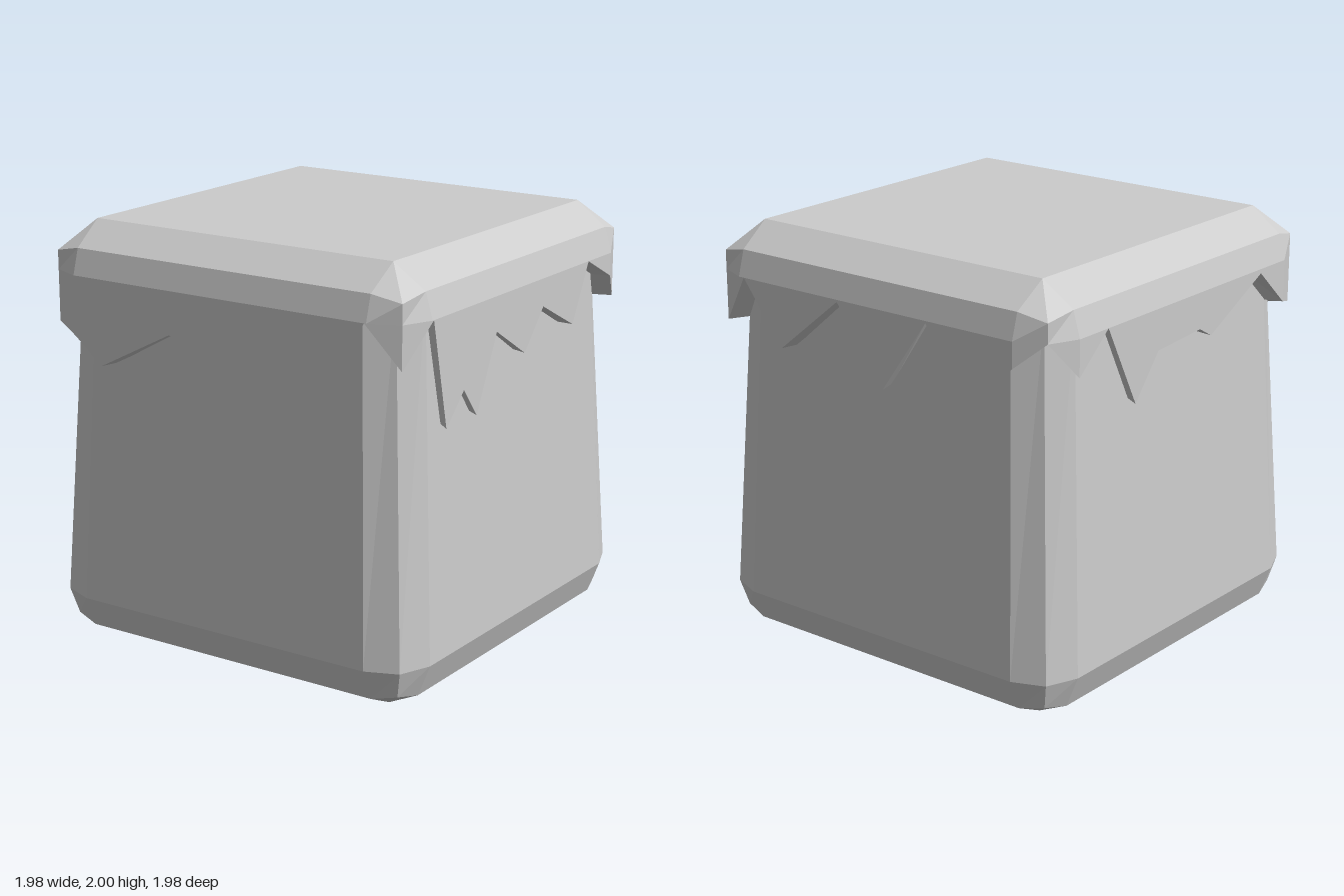
import * as THREE from 'three';

const material = new THREE.MeshStandardMaterial({ color: 0xcccccc, flatShading: true });

// Turn a front-side point (t across, w outward) to side k: front, +x, back, -x
function onSide(k, t, y, w) {
  const c = [1, 0, -1, 0][k], s = [0, 1, 0, -1][k];
  return new THREE.Vector3(t * c + w * s, y, -t * s + w * c);
}

// Bevelled square ring: flat half-length e at distance w, corner point at (c, c)
function ring(e, w, y, c, yc = y) {
  const pts = [];
  for (let k = 0; k < 4; k++) {
    pts.push(onSide(k, -c, yc, c), onSide(k, -e, y, w), onSide(k, e, y, w));
  }
  return pts;
}

// Skin a stack of equal-length rings, optionally closing the ends
function skin(name, rings, closeBottom, closeTop) {
  const pos = [];
  const tri = (a, b, c) => {
    for (const p of [a, b, c]) pos.push(p.x, p.y, p.z);
  };
  for (let r = 0; r + 1 < rings.length; r++) {
    const lo = rings[r], hi = rings[r + 1], n = lo.length;
    for (let i = 0; i < n; i++) {
      const j = (i + 1) % n;
      tri(lo[i], lo[j], hi[j]);
      tri(lo[i], hi[j], hi[i]);
    }
  }
  const close = (pts, up) => {
    const mid = new THREE.Vector3(0, pts[0].y, 0);
    pts.forEach((p, i) => {
      const q = pts[(i + 1) % pts.length];
      if (up) tri(mid, p, q);
      else tri(mid, q, p);
    });
  };
  if (closeBottom) close(rings[0], false);
  if (closeTop) close(rings[rings.length - 1], true);
  const geometry = new THREE.BufferGeometry();
  geometry.setAttribute('position', new THREE.Float32BufferAttribute(pos, 3));
  geometry.computeVertexNormals();
  const mesh = new THREE.Mesh(geometry, material);
  mesh.name = name;
  return mesh;
}

// Drip heights [across, y] on each side, left to right seen from outside
const drips = [
  [[-0.93, 1.53], [-0.79, 1.49], [-0.64, 1.37], [-0.25, 1.57], [0.12, 1.46], [0.35, 1.61], [0.6, 1.5], [0.78, 1.77]],
  [[-0.93, 1.57], [-0.78, 1.77], [-0.67, 1.27], [-0.53, 1.41], [-0.42, 1.27], [-0.26, 1.61], [-0.01, 1.46],
    [0.15, 1.64], [0.43, 1.5], [0.57, 1.77], [0.79, 1.66]],
  [[-0.93, 1.53], [-0.76, 1.77], [-0.535, 1.48], [-0.19, 1.76], [0.07, 1.41], [0.32, 1.76], [0.555, 1.44], [0.79, 1.65]],
  [[-0.93, 1.77], [-0.79, 1.6], [-0.59, 1.77], [-0.385, 1.38], [-0.22, 1.58], [0.1, 1.6], [0.19, 1.55],
    [0.59, 1.75], [0.79, 1.57]],
];

export function createModel() {
  const group = new THREE.Group();
  group.name = 'drippingBlock';

  // Tapered block with rounded edges
  group.add(skin('body', [
    ring(0.78, 0.78, 0, 0.78),
    ring(0.78, 0.93, 0.07, 0.9, 0.095),
    ring(0.78, 0.99, 0.22, 0.93),
    ring(0.72, 0.91, 1.85, 0.845),
  ], true, true));

  // Hanging skirt with ragged lower edge and a lip turned in to the body
  const inner = [], edge = [], wall = [];
  drips.forEach((side, k) => side.forEach(([t, y]) => {
    const w = Math.abs(t) <= 0.79 ? 0.99 : 0.99 - (Math.abs(t) - 0.79) * 0.06 / 0.14;
    inner.push(onSide(k, t * 0.925, y + 0.01, w * 0.925));
    edge.push(onSide(k, t, y, w));
    wall.push(onSide(k, t, 1.77, w));
  }));
  group.add(skin('drippingSkirt', [inner, edge, wall], false, false));

  // Bevelled top of the covering
  group.add(skin('toppingLid', [
    ring(0.79, 0.99, 1.77, 0.93),
    ring(0.79, 0.955, 1.89, 0.93, 1.86),
    ring(0.8, 0.8, 2, 0.8),
  ], false, true));

  return group;
}
